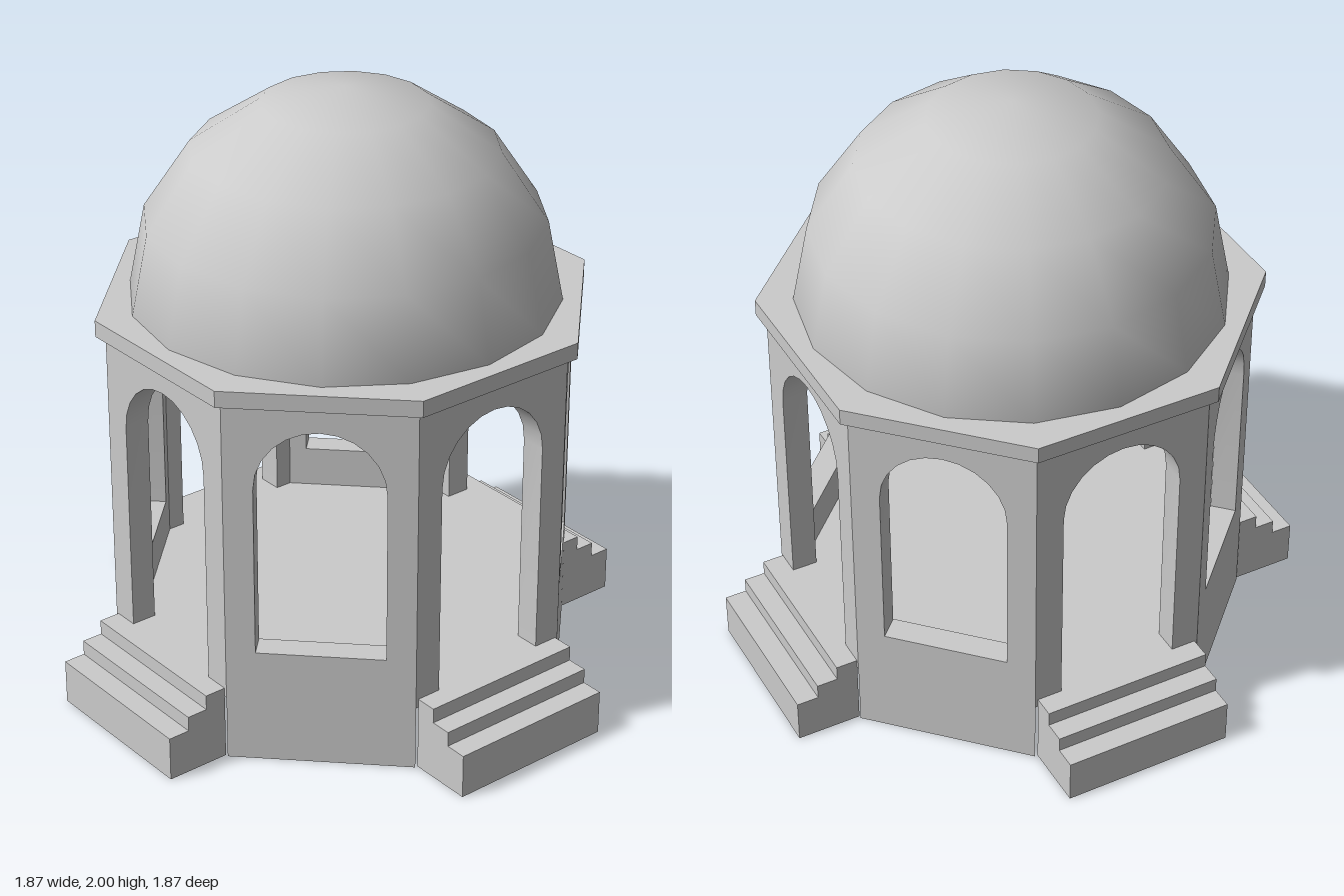
import * as THREE from 'three';
import { toCreasedNormals } from 'three/addons/utils/BufferGeometryUtils.js';

const APOTHEM = 0.718, WALL = 0.085, FLOOR = 0.25, UNDER = 0.22, WALL_TOP = 1.255;
const T = Math.tan(Math.PI / 8);
const HALF = APOTHEM * T, INNER = (APOTHEM - WALL) * T;

const solid = new THREE.MeshStandardMaterial({ color: 0xcccccc });
const shell = new THREE.MeshStandardMaterial({ color: 0xcccccc, side: THREE.DoubleSide });

function mesh(name, geometry, material = solid) {
  const m = new THREE.Mesh(geometry, material);
  m.name = name;
  return m;
}

// Octagonal slab with flat sides facing the axes
function octagon(apothem, bottom, top) {
  const r = apothem / Math.cos(Math.PI / 8);
  return new THREE.CylinderGeometry(r, r, top - bottom, 8)
    .rotateY(Math.PI / 8)
    .translate(0, (top + bottom) / 2, 0)
    .toNonIndexed();
}

// Wall panel with an arched opening, mitred to meet its neighbours
function wallPanel(sill) {
  const r = 0.204, spring = 0.966;
  const s = new THREE.Shape();
  s.moveTo(-HALF, UNDER).lineTo(HALF, UNDER).lineTo(HALF, WALL_TOP).lineTo(-HALF, WALL_TOP).closePath();
  const hole = new THREE.Path();
  hole.moveTo(-r, sill).lineTo(r, sill).lineTo(r, spring);
  hole.absarc(0, spring, r, 0, Math.PI, false);
  hole.closePath();
  s.holes.push(hole);
  const g = new THREE.ExtrudeGeometry(s, { depth: WALL, bevelEnabled: false, curveSegments: 6 });
  const p = g.attributes.position;
  for (let i = 0; i < p.count; i++) {
    if (Math.abs(p.getX(i)) > 0.25 && p.getZ(i) < WALL / 2) p.setX(i, Math.sign(p.getX(i)) * INNER);
  }
  g.translate(0, 0, APOTHEM - WALL);
  return toCreasedNormals(g, 0.6);
}

// Hollow stairs: a stepped skin closed by two side panels
function stairs() {
  const w = 0.288, start = APOTHEM;
  const profile = [[start, 0.25], [0.79, 0.25], [0.79, 0.2], [0.86, 0.2], [0.86, 0.15], [0.933, 0.15], [0.933, 0]];
  const g = new THREE.Group();
  g.name = 'stairs';
  for (let i = 0; i < profile.length - 1; i++) {
    const [z0, y0] = profile[i], [z1, y1] = profile[i + 1];
    const tread = y0 === y1;
    const plane = new THREE.PlaneGeometry(2 * w, tread ? z1 - z0 : y0 - y1);
    if (tread) plane.rotateX(-Math.PI / 2);
    plane.translate(0, (y0 + y1) / 2, (z0 + z1) / 2);
    g.add(mesh(tread ? 'tread' : 'riser', plane, shell));
  }
  const outline = new THREE.Shape([[start, 0], ...profile].map(([z, y]) => new THREE.Vector2(-z, y)));
  for (const side of [-1, 1]) {
    const cheek = new THREE.ShapeGeometry(outline).rotateY(Math.PI / 2).translate(side * w, 0, 0);
    // Turn the panel on the model's right so that it faces outward
    if (side < 0) {
      const idx = Array.from(cheek.index.array).reverse();
      cheek.setIndex(idx);
      cheek.computeVertexNormals();
    }
    g.add(mesh('stairSide', cheek, shell));
  }
  return g;
}

export function createModel() {
  const model = new THREE.Group();
  model.name = 'domedPavilion';

  // Eight bays: doorways with stairs alternate with windows over a plain base
  const door = wallPanel(FLOOR), windowWall = wallPanel(0.39);
  for (let i = 0; i < 8; i++) {
    const isDoor = i % 2 === 0;
    const bay = new THREE.Group();
    bay.name = isDoor ? 'doorBay' : 'windowBay';
    bay.add(mesh(isDoor ? 'doorWall' : 'windowWall', isDoor ? door : windowWall));
    if (isDoor) {
      bay.add(stairs());
    } else {
      const base = new THREE.PlaneGeometry(2 * HALF, UNDER).translate(0, UNDER / 2, APOTHEM);
      bay.add(mesh('baseWall', base, shell));
    }
    bay.rotation.y = i * Math.PI / 4;
    model.add(bay);
  }

  // Floor, cornice slab and dome
  model.add(mesh('floor', octagon(APOTHEM - 0.002, UNDER, FLOOR), solid));
  model.add(mesh('cornice', octagon(0.748, WALL_TOP, 1.31), solid));
  model.children.slice(-2).forEach((m) => m.geometry.computeVertexNormals());
  const dome = new THREE.SphereGeometry(0.69, 16, 4, 0, Math.PI * 2, 0, Math.PI / 2).translate(0, 1.31, 0);
  model.add(mesh('dome', dome));
  return model;
}
